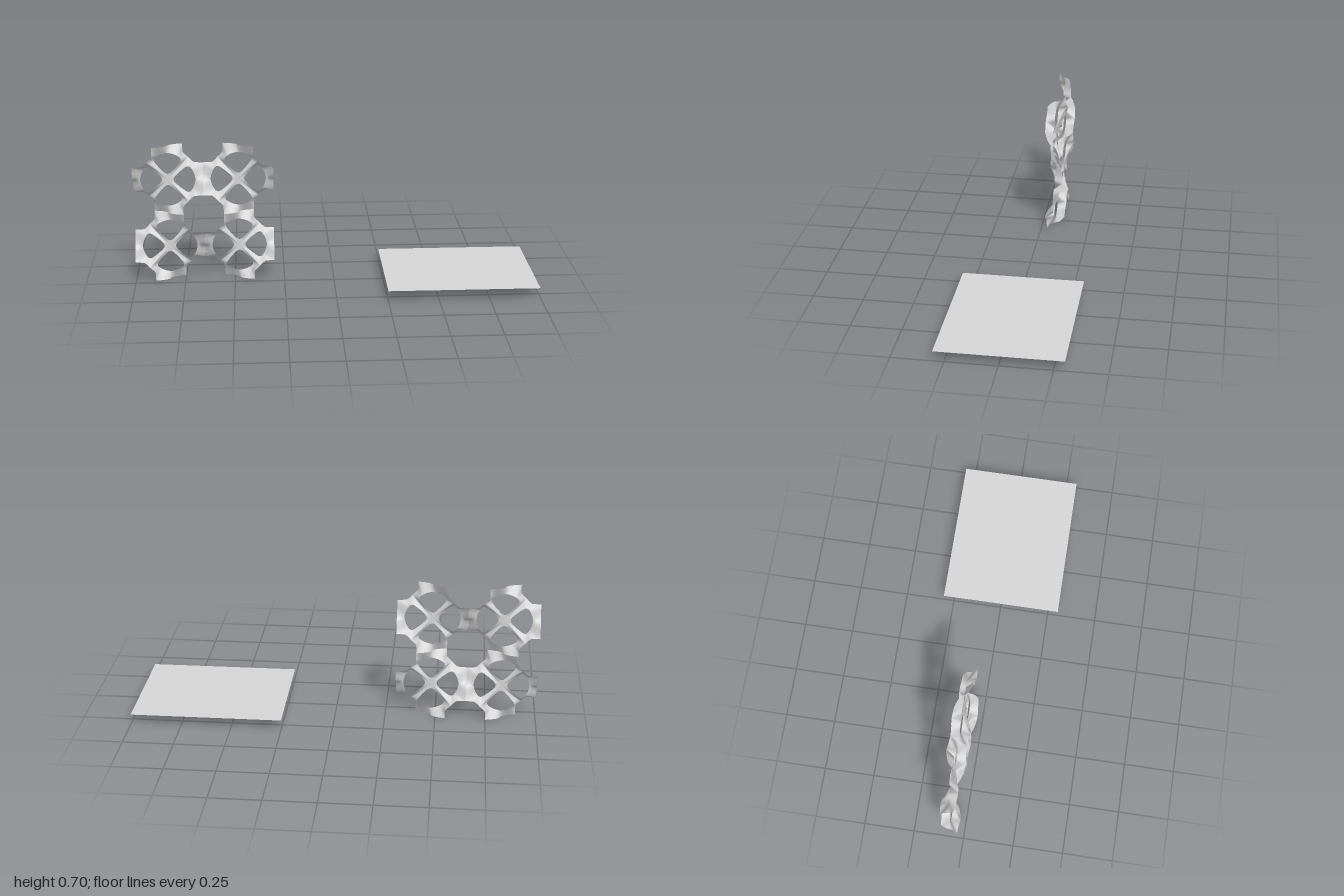
import * as THREE from 'three';
import { mergeVertices } from 'three/addons/utils/BufferGeometryUtils.js';

const DEPTH = 0.044, STEPS = 4, PERIOD = 0.35;

// One eighth of a cell: rim of the opening, and the matching outer contour
const RIM = [[0.029, 0], [0.031, 0.009], [0.038, 0.019], [0.06, 0.04], [0.078, 0.054], [0.09, 0.063], [0.1, 0.067],
  [0.108, 0.065], [0.115, 0.06], [0.12, 0.052], [0.126, 0.042], [0.132, 0.028], [0.135, 0.016], [0.137, 0.006], [0.138, 0]];
const OUTER = [[0, 0], [0.009, 0.009], [0.02, 0.02], [0.048, 0.048], [0.07, 0.07], [0.088, 0.088], [0.102, 0.102],
  [0.117, 0.086], [0.13, 0.076], [0.15, 0.075], [0.175, 0.075], [0.175, 0.045], [0.175, 0.022], [0.175, 0.007], [0.175, 0]];

// Height of the outer contour: corners swing alternately forward and back
function height(x, y) {
  const r = Math.hypot(x, y);
  if (r < 1e-6) return 0;
  const s = 2 * x * y / (r * r);
  return DEPTH * Math.sign(s) * Math.sqrt(Math.abs(s)) * Math.min(1, r / 0.144) ** 2;
}

// Full cell: the eighth mirrored over both axes and the diagonal; opening rims stay flat
function cellGeometry(sign) {
  const pos = [];
  for (const sx of [1, -1]) for (const sy of [1, -1]) for (const swap of [false, true]) {
    const flip = (sx * sy < 0) !== swap;
    const point = (i, j) => {
      const t = j / STEPS;
      const a = RIM[i][0] * (1 - t) + OUTER[i][0] * t;
      const b = RIM[i][1] * (1 - t) + OUTER[i][1] * t;
      const z = sign * sx * sy * height(...OUTER[i]) * t;
      return [sx * (swap ? b : a), sy * (swap ? a : b), z];
    };
    const tri = (a, b, c) => pos.push(...a, ...(flip ? c : b), ...(flip ? b : c));
    for (let i = 0; i < RIM.length - 1; i++) for (let j = 0; j < STEPS; j++) {
      const a = point(i, j), b = point(i, j + 1), c = point(i + 1, j + 1), d = point(i + 1, j);
      tri(a, d, c);
      tri(a, c, b);
    }
  }
  const g = new THREE.BufferGeometry();
  g.setAttribute('position', new THREE.Float32BufferAttribute(pos, 3));
  const merged = mergeVertices(g, 1e-5);
  merged.computeVertexNormals();
  return merged;
}

export function createModel() {
  const group = new THREE.Group();
  const grey = new THREE.MeshStandardMaterial({ color: 0xd6d6d6, side: THREE.DoubleSide });
  grey.name = 'light grey';

  // Two by two lattice, neighbouring cells mirrored
  const lattice = new THREE.Group();
  lattice.name = 'lattice';
  for (let col = 0; col < 2; col++) for (let row = 0; row < 2; row++) {
    const cell = new THREE.Mesh(cellGeometry(col === row ? 1 : -1), grey);
    cell.name = 'latticeCell';
    cell.position.set(-0.825 + col * PERIOD, 0.175 + row * PERIOD, -0.068);
    lattice.add(cell);
  }
  group.add(lattice);

  // Flat sheet beside the lattice
  const sheet = new THREE.Mesh(new THREE.PlaneGeometry(0.75, 0.605).rotateX(-Math.PI / 2), grey);
  sheet.name = 'flatSheet';
  sheet.position.set(0.625, 0.05, 0);
  group.add(sheet);
  return group;
}
